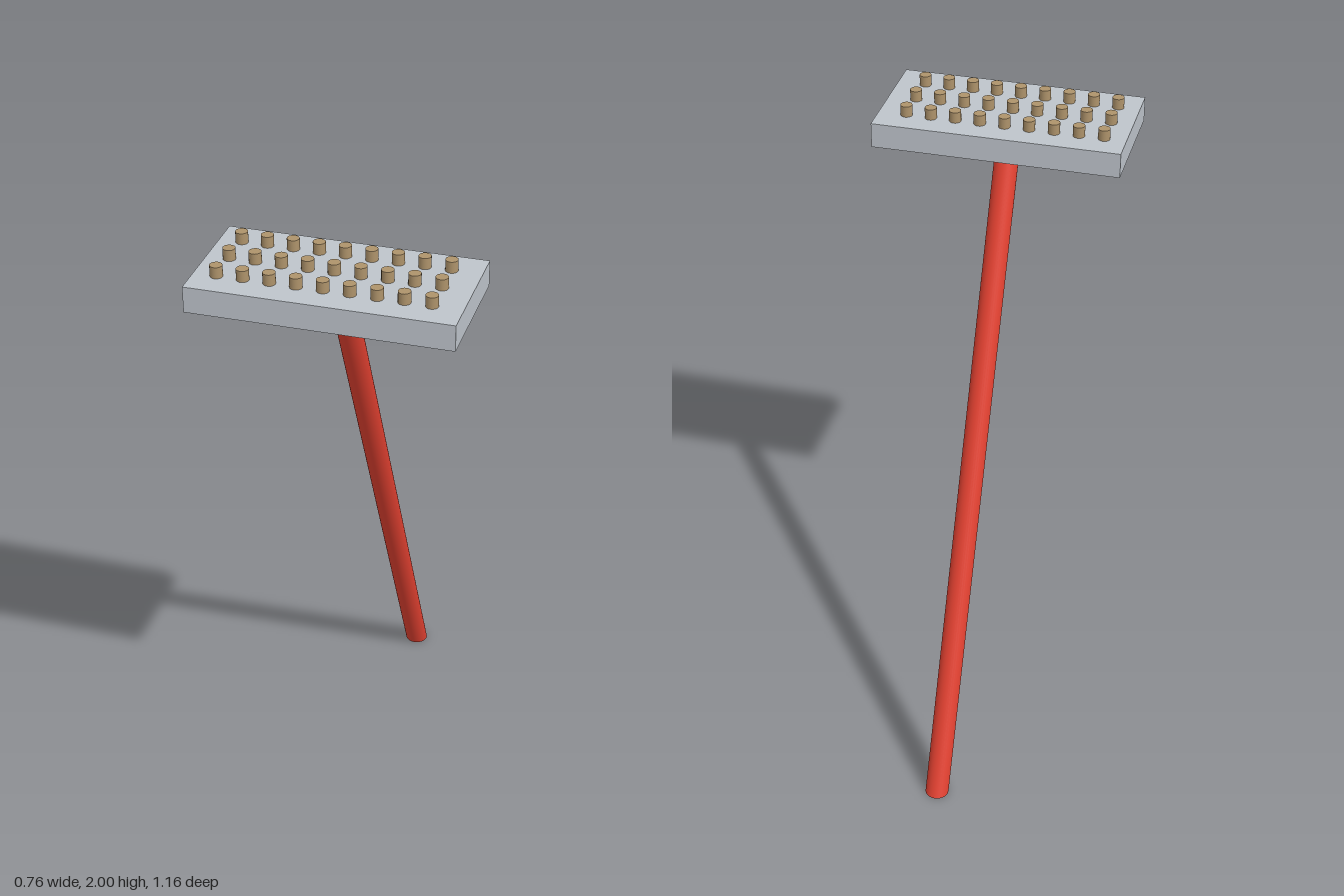
import * as THREE from 'three';

const paint = (color) => new THREE.MeshStandardMaterial({ color });

function addPart(parent, name, geometry, material, x, y, z) {
  const mesh = new THREE.Mesh(geometry, material);
  mesh.name = name;
  mesh.position.set(x, y, z);
  parent.add(mesh);
  return mesh;
}

export function createModel() {
  const model = new THREE.Group();
  model.name = 'pushBroom';
  const red = paint(0xe04030);
  const grey = paint(0xbec4cb);
  const brown = paint(0xae936b);

  // Broom head block
  addPart(model, 'headBlock', new THREE.BoxGeometry(0.756, 0.077, 0.376), grey, -0.001, 1.928, 0.391);

  // Thin plate under the block
  addPart(model, 'underPlate', new THREE.BoxGeometry(0.68, 0.012, 0.3), brown, -0.011, 1.888, 0.397);

  // Handle: a cylinder sheared in z so both ends stay level
  const height = 1.9;
  const lean = 0.88;
  const handle = new THREE.CylinderGeometry(0.037, 0.037, height, 32);
  handle.applyMatrix4(new THREE.Matrix4().set(
    1, 0, 0, 0,
    0, 1, 0, 0,
    0, lean / height, 1, 0,
    0, 0, 0, 1
  ));
  handle.computeBoundingSphere();
  addPart(model, 'handle', handle, red, -0.012, height / 2, -0.543 + lean / 2);

  // Bristle tufts: three rows of nine
  const tufts = new THREE.Group();
  tufts.name = 'bristleTufts';
  const tuft = new THREE.CylinderGeometry(0.018, 0.018, 0.04, 20);
  for (let row = 0; row < 3; row++) {
    for (let col = 0; col < 9; col++) {
      addPart(tufts, 'bristleTuft', tuft, brown, -0.011 + (col - 4) * 0.0753, 1.98, 0.39 + (row - 1) * 0.104);
    }
  }
  model.add(tufts);

  return model;
}
